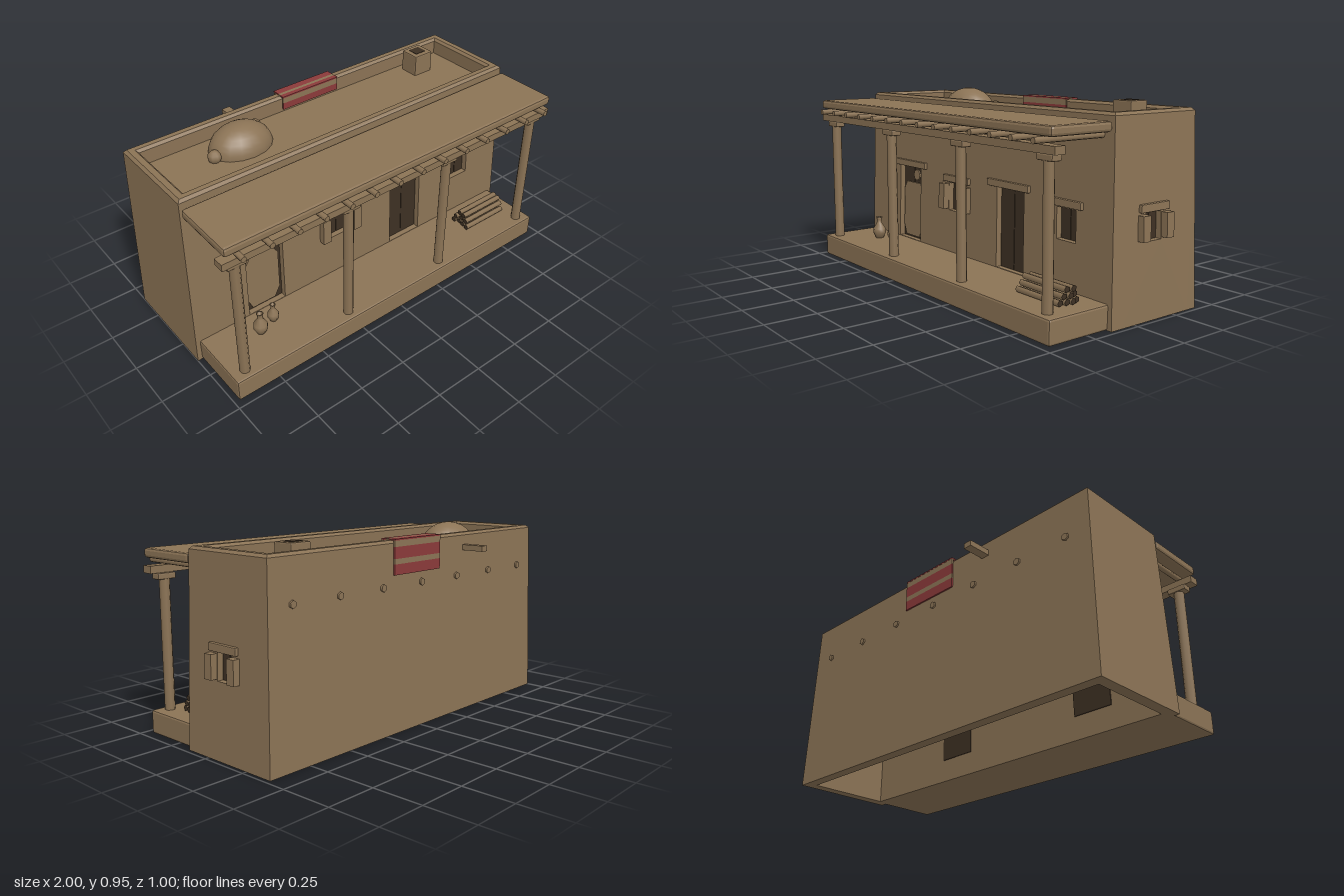
import * as THREE from 'three';
import { RoundedBoxGeometry } from 'three/addons/geometries/RoundedBoxGeometry.js';

const mat = (name, color, extra = {}) => {
  const m = new THREE.MeshStandardMaterial({ color, ...extra });
  m.name = name;
  return m;
};

export function createModel() {
  const root = new THREE.Group();
  root.name = 'adobeHouse';
  const adobe = mat('adobe', 0x8b7355);
  const dark = mat('darkWood', 0x3d3023);
  const red = mat('redWool', 0x8b3a3a);

  const add = (parent, name, geo, material, x = 0, y = 0, z = 0) => {
    const m = new THREE.Mesh(geo, material);
    m.name = name;
    m.position.set(x, y, z);
    parent.add(m);
    return m;
  };
  // box given by its min and max corners
  const span = (x0, x1, y0, y1, z0, z1) =>
    new THREE.BoxGeometry(x1 - x0, y1 - y0, z1 - z0)
      .translate((x0 + x1) / 2, (y0 + y1) / 2, (z0 + z1) / 2);
  // box with chamfered edges
  const slab = (x0, x1, y0, y1, z0, z1, r) => {
    const g = new RoundedBoxGeometry(x1 - x0, y1 - y0, z1 - z0, 1, r)
      .translate((x0 + x1) / 2, (y0 + y1) / 2, (z0 + z1) / 2);
    g.computeVertexNormals();
    return g;
  };

  // ---- House shell: straight walls that lean inward by one rule ----
  const house = new THREE.Group();
  house.name = 'house';
  house.position.set(-0.01, 0, -0.13);
  root.add(house);
  const HX = 0.99, HZ = 0.27, T = 0.055, WALL = 0.89;
  const taper = (geo) => {
    const p = geo.attributes.position;
    for (let i = 0; i < p.count; i++) {
      const k = p.getY(i) / 0.915;
      p.setX(i, p.getX(i) * (1 - 0.025 * k));
      p.setZ(i, p.getZ(i) * (1 - 0.074 * k));
    }
    geo.computeVertexNormals();
    return geo;
  };
  const rect = (Type, x0, x1, y0, y1) => {
    const s = new Type();
    s.moveTo(x0, y0); s.lineTo(x1, y0); s.lineTo(x1, y1); s.lineTo(x0, y1); s.closePath();
    return s;
  };
  // openings: [u0, u1, y0, y1] along the wall
  const wall = (half, openings) => {
    const s = rect(THREE.Shape, -half, half, 0, WALL);
    for (const o of openings) s.holes.push(rect(THREE.Path, ...o));
    return new THREE.ExtrudeGeometry(s, { depth: T, bevelEnabled: false });
  };
  const door1 = [-0.69, -0.48, 0.115, 0.52], door2 = [0.205, 0.41, 0.115, 0.51];
  const win1 = [-0.205, -0.065, 0.335, 0.48], win2 = [0.64, 0.765, 0.335, 0.48];
  const sideWin = [-0.065, 0.035, 0.355, 0.48];
  add(house, 'frontWall', taper(wall(HX, [door1, door2, win1, win2]).translate(0, 0, HZ - T)), adobe);
  add(house, 'backWall', taper(wall(HX, []).translate(0, 0, -HZ)), adobe);
  add(house, 'leftWall', taper(wall(HZ - T, [sideWin]).rotateY(Math.PI / 2).translate(HX - T, 0, 0)), adobe);
  add(house, 'rightWall', taper(wall(HZ - T, []).rotateY(Math.PI / 2).translate(-HX, 0, 0)), adobe);

  // chamfered parapet cap
  const b = 0.013;
  const capShape = rect(THREE.Shape, -HX + b, HX - b, -HZ + b, HZ - b);
  capShape.holes.push(rect(THREE.Path, -HX + T - b, HX - T + b, -HZ + T - b, HZ - T + b));
  const cap = new THREE.ExtrudeGeometry(capShape,
    { depth: 0.012, bevelSize: b, bevelThickness: b, bevelSegments: 1 });
  cap.rotateX(-Math.PI / 2).translate(0, WALL, 0);
  add(house, 'parapetCap', taper(cap), adobe);
  add(house, 'roofDeck', taper(span(-HX + T, HX - T, 0.8, 0.83, -HZ + T, HZ - T)), adobe);

  // ---- Windows and doors, built facing +z; turn moves them to their wall ----
  const fittings = (name, [u0, u1, y0, y1], face, lintel, o = {}) => {
    const put = (part, geo, m) => {
      if (o.turn) geo.rotateY(Math.PI / 2);
      return add(house, name + part, taper(geo), m);
    };
    const mid = (u0 + u1) / 2;
    put('PaneA', span(u0, mid - 0.002, y0, y1, face - 0.06, face - 0.03), dark);
    put('PaneB', span(mid + 0.002, u1, y0, y1, face - 0.06, face - 0.03), dark);
    put('Mullion', span(mid - 0.002, mid + 0.002, y0, y1, face - 0.06, face - 0.033), dark);
    put('Lintel', slab(...lintel, face - 0.02, face + 0.017, 0.004), adobe);
    if (o.shutters) for (const [a, c] of [[u0 - 0.05, u0 - 0.003], [u1 + 0.003, u1 + 0.05]])
      put('Shutter', span(a, c, y0 + 0.008, y1 - 0.005, face - 0.005, face + 0.033), adobe);
  };
  fittings('door', door1, HZ, [-0.745, -0.42, 0.523, 0.557]);
  fittings('plankDoor', door2, HZ, [0.14, 0.455, 0.513, 0.547]);
  fittings('window', win1, HZ, [-0.245, -0.018, 0.487, 0.521], { shutters: true });
  fittings('smallWindow', win2, HZ, [0.595, 0.81, 0.487, 0.521]);
  fittings('sideWindow', sideWin, HX, [-0.11, 0.077, 0.485, 0.521], { shutters: true, turn: true });

  // pale panel and round boss on the first door
  const panel = new THREE.Shape([[-0.655, 0.125], [-0.525, 0.125], [-0.495, 0.18], [-0.495, 0.39],
    [-0.52, 0.43], [-0.655, 0.43], [-0.68, 0.39], [-0.68, 0.18]].map((p) => new THREE.Vector2(...p)));
  add(house, 'doorPanel', taper(new THREE.ExtrudeGeometry(panel, { depth: 0.008, bevelEnabled: false })
    .translate(0, 0, HZ - 0.03)), adobe);
  add(house, 'doorBoss', taper(new THREE.CylinderGeometry(0.03, 0.03, 0.008, 12)
    .rotateX(Math.PI / 2).translate(-0.555, 0.475, HZ - 0.026)), adobe);

  // beam ends along the back wall, roof spouts
  for (let i = -3; i <= 3; i++)
    add(root, 'backBeamEnd', new THREE.CylinderGeometry(0.018, 0.018, 0.04, 6).rotateX(Math.PI / 2),
      adobe, -0.01 + i * 0.28, 0.705, -0.374);
  add(root, 'backSpout', span(-0.387, -0.343, 0.827, 0.855, -0.5, -0.32), adobe);
  add(root, 'frontSpout', span(-0.467, -0.423, 0.827, 0.855, 0.08, 0.134), dark);

  // ---- Things on the roof ----
  const dome = new THREE.SphereGeometry(1, 16, 8, 0, Math.PI * 2, 0, Math.PI / 2);
  add(root, 'ovenDome', dome, adobe, -0.475, 0.83, -0.193).scale.set(0.163, 0.122, 0.125);
  for (const [x, z] of [[-0.34, -0.275], [-0.637, -0.16]])
    add(root, 'ovenLump', new THREE.SphereGeometry(0.034, 8, 6), adobe, x, 0.85, z);
  add(root, 'chimney', slab(0.635, 0.75, 0.82, 0.94, -0.298, -0.192, 0.006), adobe);
  add(root, 'chimneyHole', span(0.66, 0.724, 0.936, 0.942, -0.275, -0.217), dark);

  // striped blanket hung over the back parapet
  const blanket = new THREE.Group();
  blanket.name = 'blanket';
  root.add(blanket);
  const bx = [-0.145, 0.195];
  for (const [z0, z1, m] of [[-0.335, -0.31, red], [-0.352, -0.335, adobe], [-0.392, -0.352, red]])
    add(blanket, 'blanketTop', span(...bx, 0.914, 0.921, z0, z1), m);
  for (const [y0, y1, m] of [[0.885, 0.914, adobe], [0.83, 0.885, red], [0.805, 0.83, adobe], [0.755, 0.805, red]])
    add(blanket, 'blanketBack', span(...bx, y0, y1, -0.391, -0.383), m);
  for (const [y0, y1, m] of [[0.885, 0.914, adobe], [0.85, 0.885, red]])
    add(blanket, 'blanketInside', span(...bx, y0, y1, -0.318, -0.311), m);

  // ---- Porch ----
  const porch = new THREE.Group();
  porch.name = 'porch';
  root.add(porch);
  add(porch, 'porchFloor', slab(-0.975, 0.955, 0, 0.113, 0.125, 0.465, 0.01), adobe);
  add(porch, 'porchRoof', slab(-0.975, 0.955, 0.836, 0.882, 0.132, 0.465, 0.013), adobe);
  add(porch, 'porchBeam', span(-0.985, 0.965, 0.768, 0.803, 0.4, 0.455), adobe);
  for (const x of [-0.905, -0.31, 0.29, 0.885]) {
    add(porch, 'post', new THREE.CylinderGeometry(0.025, 0.025, 0.63, 8).rotateY(Math.PI / 8),
      adobe, x, 0.425, 0.413);
    add(porch, 'postCapital', slab(x - 0.048, x + 0.048, 0.737, 0.767, 0.387, 0.44, 0.006), adobe);
  }
  for (let i = 0; i < 14; i++)
    add(porch, 'rafter', new THREE.CylinderGeometry(0.014, 0.014, 0.38, 8).rotateX(Math.PI / 2),
      adobe, -0.907 + i * 0.138, 0.821, 0.31);

  // ---- Pots and firewood ----
  const pot = (x, z, r, h) => {
    const pts = [[0, 0], [0.6, 0], [1, 0.25], [0.95, 0.45], [0.4, 0.72], [0.35, 0.88], [0.5, 1], [0.3, 0.97], [0, 0.8]];
    const g = new THREE.LatheGeometry(pts.map(([a, c]) => new THREE.Vector2(a * r, c * h)), 10);
    add(porch, 'pot', g, adobe, x, 0.113, z);
  };
  pot(-0.717, 0.262, 0.036, 0.118);
  pot(-0.625, 0.232, 0.029, 0.098);
  const logs = [[0.322, 0.13], [0.288, 0.13], [0.258, 0.13], [0.228, 0.13],
    [0.306, 0.158], [0.272, 0.158], [0.24, 0.158], [0.29, 0.186], [0.256, 0.186]];
  logs.forEach(([z, y], i) => add(porch, 'log',
    new THREE.CylinderGeometry(0.015, 0.015, 0.275, 5).rotateZ(Math.PI / 2),
    [adobe, dark, dark], 0.73 + (i % 3 - 1) * 0.006, y, z));

  return root;
}
